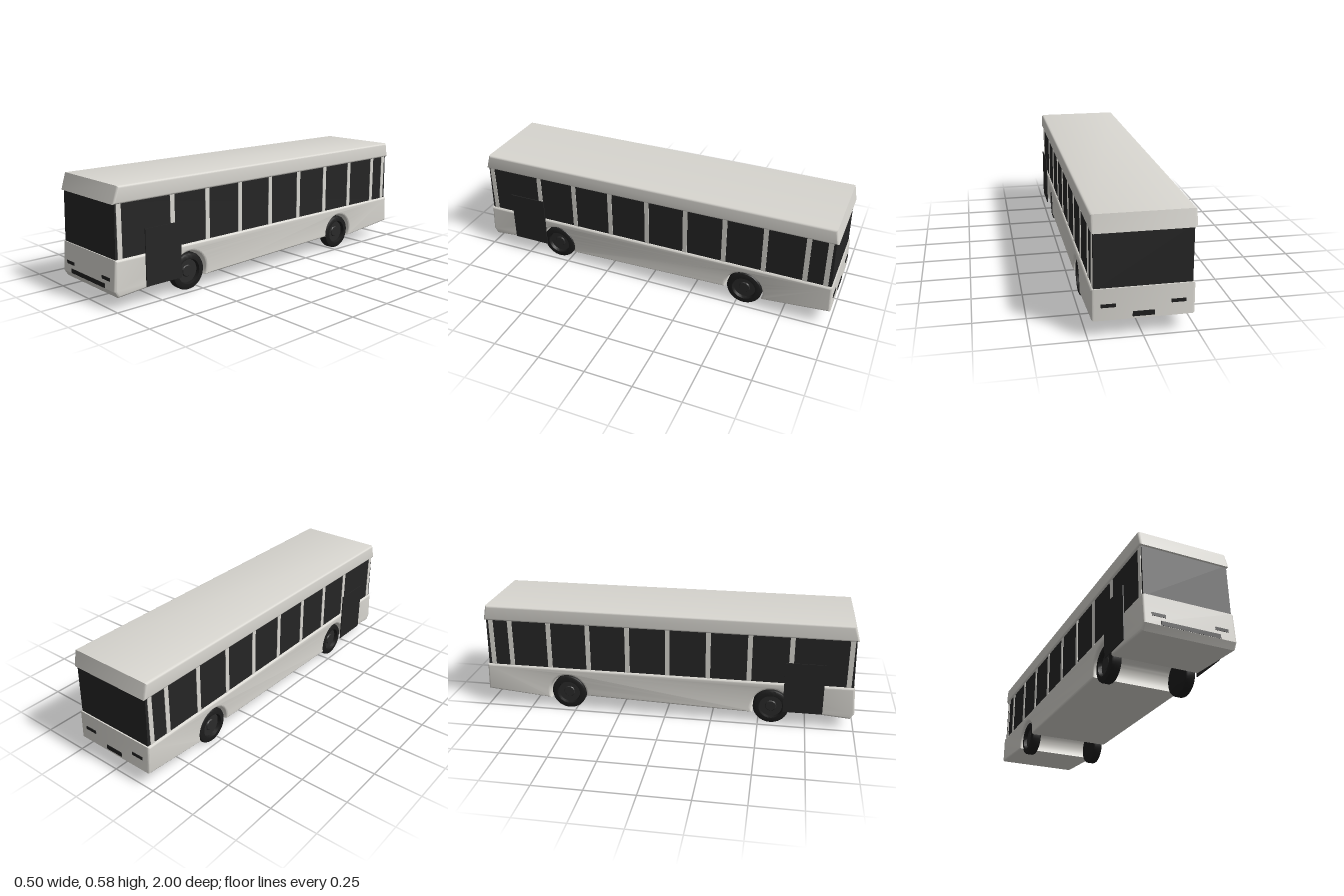
import * as THREE from 'three';
import { toCreasedNormals } from 'three/addons/utils/BufferGeometryUtils.js';

const paint = new THREE.MeshStandardMaterial({ color: 0xd8d6d0 });
paint.name = 'bodyPaint';
const glass = new THREE.MeshStandardMaterial({ color: 0x252525 });
glass.name = 'darkGlass';
const trim = new THREE.MeshStandardMaterial({ color: 0x1f1f1f });
trim.name = 'blackTrim';
const rubber = new THREE.MeshStandardMaterial({ color: 0x1c1c1c });
rubber.name = 'tyreRubber';
const hubGrey = new THREE.MeshStandardMaterial({ color: 0x2a2a2a });
hubGrey.name = 'hubGrey';

const AXLES = [-0.54, 0.566];

function mesh(name, geometry, material, x = 0, y = 0, z = 0) {
  const m = new THREE.Mesh(geometry, material);
  m.name = name;
  m.position.set(x, y, z);
  return m;
}

// Extrudes a side profile (z, y) across the width, with rounded side edges.
function sideProfile(shape, halfWidth, bevel) {
  const depth = 2 * (halfWidth - bevel);
  const geo = new THREE.ExtrudeGeometry(shape, {
    depth, curveSegments: 20, bevelEnabled: bevel > 0,
    bevelThickness: bevel, bevelSize: bevel, bevelOffset: -bevel, bevelSegments: 4,
  });
  geo.translate(0, 0, -depth / 2);
  geo.rotateY(-Math.PI / 2);
  return toCreasedNormals(geo, 0.5);
}

function polygon(points) {
  return new THREE.Shape(points.map(([z, y]) => new THREE.Vector2(z, y)));
}

// Lower body with wheel arches and a gently rising underside
function lowerBody() {
  const s = new THREE.Shape();
  s.moveTo(-0.99, 0.06);
  for (const z of AXLES) s.absarc(z, 0.097, 0.103, Math.PI + 0.37, -0.117, true);
  s.lineTo(0.98, 0.06);
  s.lineTo(1.0, 0.092);
  s.lineTo(0.99, 0.24);
  s.lineTo(-0.993, 0.24);
  s.lineTo(-0.998, 0.09);
  s.closePath();
  return sideProfile(s, 0.235, 0.012);
}

// Tyre with rounded shoulders and a recessed hub, outer face towards +x
function wheel(name) {
  const g = new THREE.Group();
  g.name = name;
  const lathe = (pts) => {
    const geo = new THREE.LatheGeometry(pts.map(([r, h]) => new THREE.Vector2(r, h)), 40);
    geo.rotateZ(-Math.PI / 2);
    return toCreasedNormals(geo, 0.6);
  };
  g.add(mesh('tyre', lathe([
    [0, -0.028], [0.082, -0.028], [0.091, -0.024], [0.095, -0.016],
    [0.095, 0.016], [0.091, 0.024], [0.082, 0.028], [0.064, 0.028], [0.06, 0.01],
  ]), rubber));
  g.add(mesh('hub', lathe([[0.06, 0.01], [0.03, 0.01], [0.026, 0.015], [0, 0.015]]), hubGrey));
  return g;
}

export function createModel() {
  const bus = new THREE.Group();
  bus.name = 'bus';

  bus.add(mesh('lowerBody', lowerBody(), paint));
  bus.add(mesh('windowBand', sideProfile(polygon([
    [-0.986, 0.23], [0.985, 0.23], [0.978, 0.51], [-0.98, 0.51],
  ]), 0.224, 0), glass));
  bus.add(mesh('roof', sideProfile(polygon([
    [-0.992, 0.497], [0.99, 0.497], [0.965, 0.58], [-0.976, 0.58],
  ]), 0.235, 0.012), paint));

  // Window pillars, doors and wheels on both sides
  const pillars = [0.959, 0.66, 0.445, 0.228, 0.012, -0.205, -0.42, -0.635, -0.85, -0.956];
  const pillarGeo = new THREE.BoxGeometry(0.012, 0.27, 0.025);
  const doorGeo = new THREE.BoxGeometry(0.005, 0.28, 0.205);
  for (const side of [1, -1]) {
    const label = side > 0 ? 'left' : 'right';
    for (const z of pillars) {
      bus.add(mesh(label + 'Pillar', pillarGeo, paint, side * 0.221, 0.368, z));
    }
    bus.add(mesh(label + 'Door', doorGeo, glass, side * 0.247, 0.225, 0.732));
    AXLES.forEach((z, i) => {
      const w = wheel(label + (i ? 'FrontWheel' : 'RearWheel'));
      w.position.set(side * 0.197, 0.095, z);
      if (side < 0) w.rotation.y = Math.PI;
      bus.add(w);
    });
    // Lamps
    const lampGeo = new THREE.BoxGeometry(0.067, 0.016, 0.008);
    bus.add(mesh(label + 'Headlamp', lampGeo, trim, side * 0.159, 0.142, 0.995));
    bus.add(mesh(label + 'TailLamp', lampGeo, trim, side * 0.159, 0.16, -0.995));
  }

  // Front grille and rear plate
  bus.add(mesh('grille', new THREE.BoxGeometry(0.3, 0.022, 0.008), trim, 0, 0.104, 0.997));
  bus.add(mesh('rearPlate', new THREE.BoxGeometry(0.1, 0.024, 0.008), trim, 0, 0.112, -0.996));

  return bus;
}
